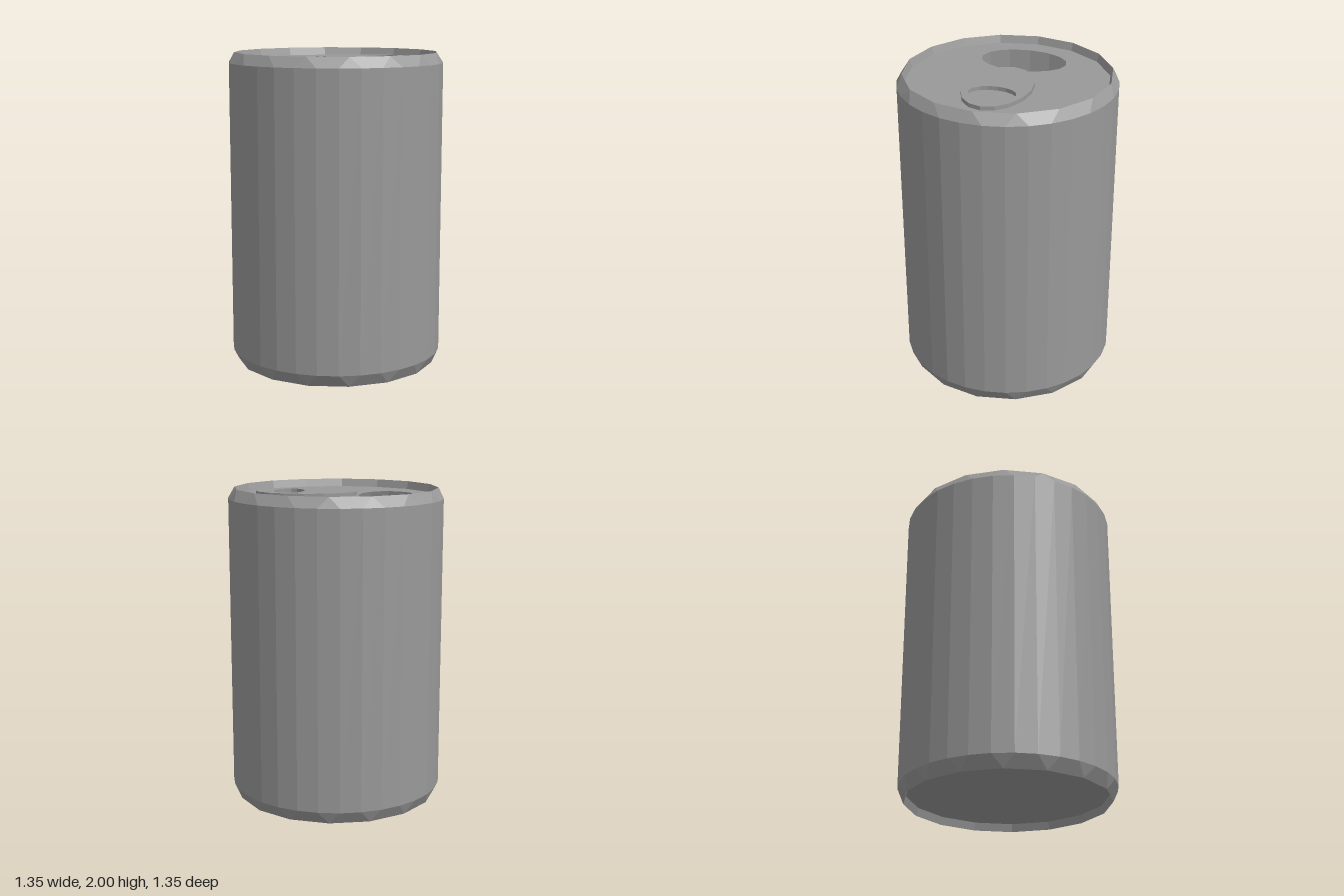
import * as THREE from 'three';

const SIDES = 16;
const BODY_R = 0.68, RIM_R = 0.645, LID_R = 0.63;
const BASE_Y = 0.08, SHOULDER_Y = 1.935, TOP_Y = 2, RECESS = 0.05;
const LID_Y = TOP_Y - RECESS;

// Outline points of an ellipse with 16 corners
function ellipse(x, rx, ry) {
  return Array.from({ length: SIDES }, (_, i) => {
    const a = (i / SIDES) * Math.PI * 2;
    return new THREE.Vector2(x + rx * Math.cos(a), ry * Math.sin(a));
  });
}

function plateWithHole(points, hole) {
  const shape = new THREE.Shape(points);
  shape.holes.push(new THREE.Path(hole));
  return shape;
}

// Open ring wall running from one height to a higher one
function wall(lowR, highR, lowY, highY, sides, turn) {
  return new THREE.CylinderGeometry(highR, lowR, highY - lowY, sides, 1, true, turn)
    .translate(0, (lowY + highY) / 2, 0);
}

// Chamfer joining the 32-sided body to a 16-sided rim
function chamfer(bodyY, rimY) {
  const positions = [];
  const point = (r, a, y) => [r * Math.sin(a), y, r * Math.cos(a)];
  const step = (Math.PI * 2) / SIDES;
  const triangle = (a, b, c) =>
    positions.push(...(rimY > bodyY ? [a, b, c] : [a, c, b]).flat());
  for (let k = 0; k < SIDES; k++) {
    const a = k * step;
    const left = point(BODY_R, a - step / 4, bodyY);
    const right = point(BODY_R, a + step / 4, bodyY);
    const nextLeft = point(BODY_R, a + step * 0.75, bodyY);
    const rim = point(RIM_R, a, rimY);
    const nextRim = point(RIM_R, a + step, rimY);
    triangle(left, right, rim);
    triangle(right, nextLeft, nextRim);
    triangle(right, nextRim, rim);
  }
  const geometry = new THREE.BufferGeometry();
  geometry.setAttribute('position', new THREE.Float32BufferAttribute(positions, 3));
  return geometry;
}

export function createModel() {
  const can = new THREE.Group();
  can.name = 'drinkCan';
  // Double-sided, as the hollow inside shows through the drinking hole
  const metal = new THREE.MeshStandardMaterial({
    color: 0x999999, flatShading: true, side: THREE.DoubleSide
  });
  metal.name = 'grey metal';

  const add = (name, geometry) => {
    const faceted = geometry.index ? geometry.toNonIndexed() : geometry;
    faceted.computeVertexNormals();
    const mesh = new THREE.Mesh(faceted, metal);
    mesh.name = name;
    can.add(mesh);
  };

  // Body wall, with chamfers at both ends
  add('bodyWall', wall(BODY_R, BODY_R, BASE_Y, SHOULDER_Y, SIDES * 2, Math.PI / (SIDES * 2)));
  add('shoulder', chamfer(SHOULDER_Y, TOP_Y));
  add('baseChamfer', chamfer(BASE_Y, 0));

  // Recessed base
  add('baseInnerRim', wall(RIM_R, LID_R, 0, RECESS, SIDES, 0));
  add('base', new THREE.CircleGeometry(LID_R, SIDES)
    .rotateX(Math.PI / 2).translate(0, RECESS, 0));

  // Sunken lid with the drinking hole cut out
  add('lidInnerRim', wall(LID_R, RIM_R, LID_Y, TOP_Y, SIDES, 0));
  add('lid', new THREE.ShapeGeometry(
    plateWithHole(ellipse(0, LID_R, LID_R), ellipse(-0.325, 0.183, 0.277))
  ).rotateX(-Math.PI / 2).translate(0, LID_Y, 0));

  // Pull tab with its finger hole
  add('pullTab', new THREE.ExtrudeGeometry(
    plateWithHole(ellipse(0.188, 0.322, 0.208), ellipse(0.297, 0.098, 0.147)),
    { depth: 0.025, bevelEnabled: false }
  ).rotateX(-Math.PI / 2).translate(0, LID_Y, 0));

  return can;
}
